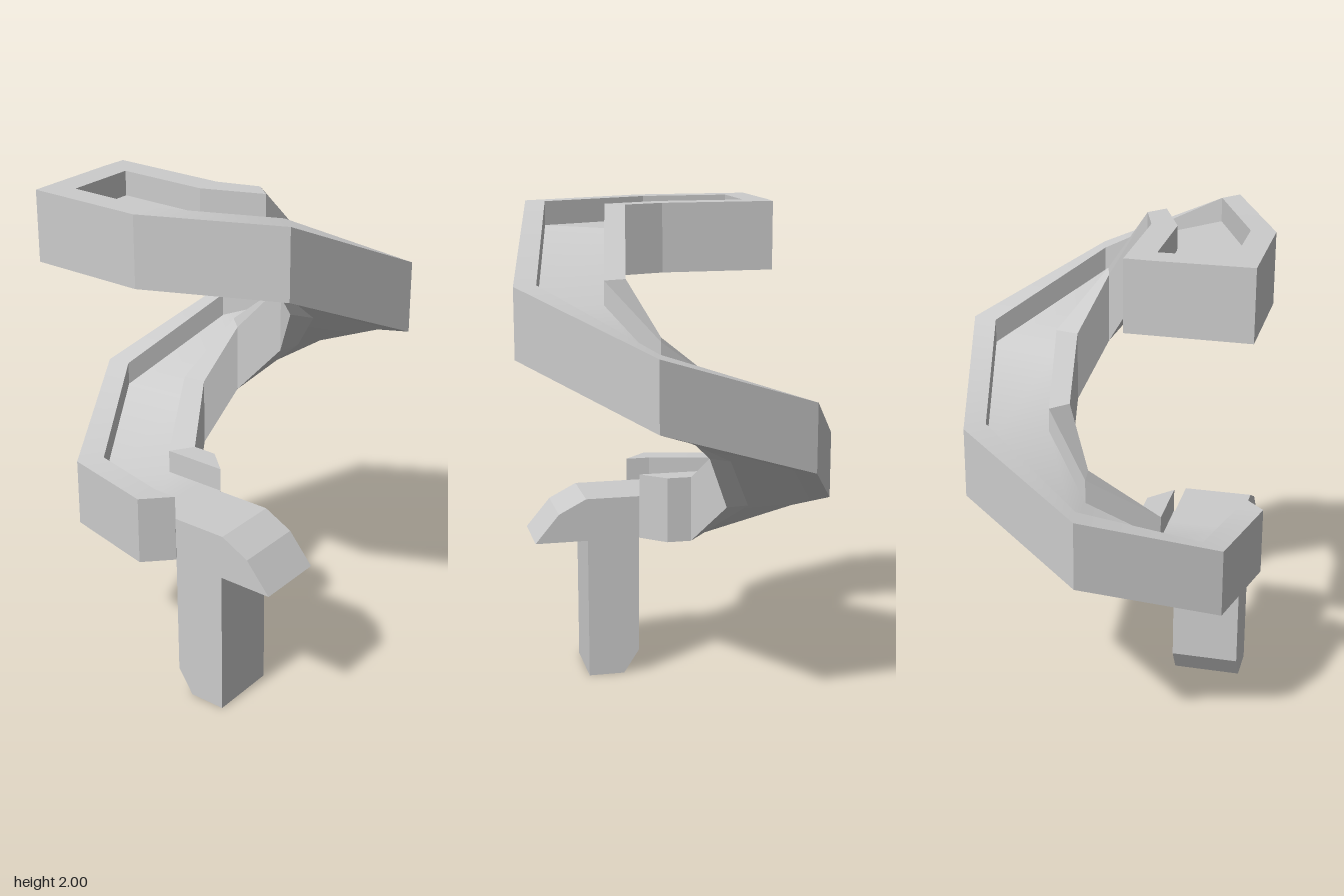
import * as THREE from 'three';

const HEIGHT = 0.275; // trough body height
const DEPTH = 0.095;  // channel depth below the rim

// Stations down the spiral: rim height, channel depth, then x,z of
// outer edge, outer wall inside, inner wall inside, inner edge
const stations = [
  [2, 0, -0.62, -0.44, -0.525, -0.44, -0.25, -0.44, -0.15, -0.435],
  [2, 0, -0.62, -0.335, -0.525, -0.335, -0.25, -0.335, -0.15, -0.335],
  [2, DEPTH, -0.62, -0.335, -0.525, -0.335, -0.25, -0.335, -0.15, -0.335],
  [2, DEPTH, -0.62, 0.02, -0.525, 0.02, -0.25, 0.02, -0.15, 0.02],
  [2, DEPTH, -0.4, 0.53, -0.34, 0.46, -0.16, 0.25, -0.1, 0.18],
  [1.73, DEPTH, 0.19, 0.66, 0.165, 0.57, 0.085, 0.3, 0.06, 0.21],
  [1.515, DEPTH, 0.62, 0.2, 0.525, 0.178, 0.252, 0.115, 0.16, 0.093],
  [1.297, DEPTH, 0.46, -0.445, 0.395, -0.376, 0.205, -0.175, 0.14, -0.106],
  [1.065, DEPTH, -0.02, -0.66, -0.005, -0.57, 0.03, -0.295, 0.042, -0.203],
  [0.875, DEPTH, -0.53, -0.39, -0.44, -0.33, -0.24, -0.16, -0.15, -0.1],
  [0.875, DEPTH, -0.62, 0, -0.52, 0, -0.24, 0, -0.15, 0],
  [0.875, DEPTH, -0.52, 0.1, -0.52, 0.1, -0.24, 0.1, -0.24, 0.1],
];

// U-shaped cross-section as a ring of points, underside split below the walls
function section([top, depth, ox, oz, px, pz, qx, qz, ix, iz]) {
  const v = (x, y, z) => new THREE.Vector3(x, y, z);
  const base = top - HEIGHT, floor = top - depth;
  return [
    v(ox, base, oz), v(ox, top, oz), v(px, top, pz), v(px, floor, pz), v(qx, floor, qz),
    v(qx, top, qz), v(ix, top, iz), v(ix, base, iz), v(qx, base, qz), v(px, base, pz),
  ];
}

function troughGeometry() {
  const rings = stations.map(section);
  const positions = [], normals = [];

  const faceNormal = (a, d, c, b) =>
    c.clone().sub(a).cross(b.clone().sub(d)).normalize();
  const tri = (points, vertexNormals) => {
    if (new THREE.Triangle(...points).getArea() < 1e-7) return;
    points.forEach((p) => positions.push(p.x, p.y, p.z));
    vertexNormals.forEach((n) => normals.push(n.x, n.y, n.z));
  };
  // Corners a, d, c, b run around the face; start and end normals may differ
  const quad = (a, d, c, b, start, end) => {
    tri([d, c, b], [end, end, start]);
    tri([d, b, a], [end, start, start]);
  };

  for (let k = 0; k < 10; k++) {
    const j = (k + 1) % 10;
    const strip = rings.slice(1).map((n, s) => faceNormal(rings[s][k], n[k], n[j], rings[s][j]));
    // Sloping strips blend gently from one bay to the next; walls stay flat
    const blend = (s, t) => {
      const n = strip[s], m = strip[t];
      const smooth = m && Math.abs(n.y) > 0.1 && n.dot(m) > 0.85;
      return smooth ? n.clone().add(m).normalize() : n;
    };
    strip.forEach((_, s) => {
      const r = rings[s], n = rings[s + 1];
      quad(r[k], n[k], n[j], r[j], blend(s, s - 1), blend(s, s + 1));
    });
  }

  // End faces: solid at the top, floor slab at the exit
  const back = new THREE.Vector3(0, 0, -1), front = new THREE.Vector3(0, 0, 1);
  const first = rings[0], last = rings[rings.length - 1];
  quad(first[0], first[1], first[6], first[7], back, back);
  quad(last[7], last[4], last[3], last[0], front, front);

  const geometry = new THREE.BufferGeometry();
  geometry.setAttribute('position', new THREE.Float32BufferAttribute(positions, 3));
  geometry.setAttribute('normal', new THREE.Float32BufferAttribute(normals, 3));
  return geometry;
}

export function createModel() {
  const group = new THREE.Group();
  const material = new THREE.MeshStandardMaterial({ color: 0xcccccc });

  // Spiral trough
  const trough = new THREE.Mesh(troughGeometry(), material);
  trough.name = 'spiralTrough';
  group.add(trough);

  // Support leg with the overhanging exit lip, side profile as (z, y)
  const profile = new THREE.Shape([
    [0.17, 0], [0.32, 0], [0.32, 0.6], [0.54, 0.6], [0.44, 0.72],
    [0.325, 0.78], [0.1, 0.78], [0.105, 0.1],
  ].map(([z, y]) => new THREE.Vector2(z, y)));
  const leg = new THREE.Mesh(
    new THREE.ExtrudeGeometry(profile, { depth: 0.275, bevelEnabled: false }), material);
  leg.name = 'legAndExitLip';
  leg.rotation.y = -Math.PI / 2;
  leg.position.x = -0.245;
  group.add(leg);

  return group;
}
